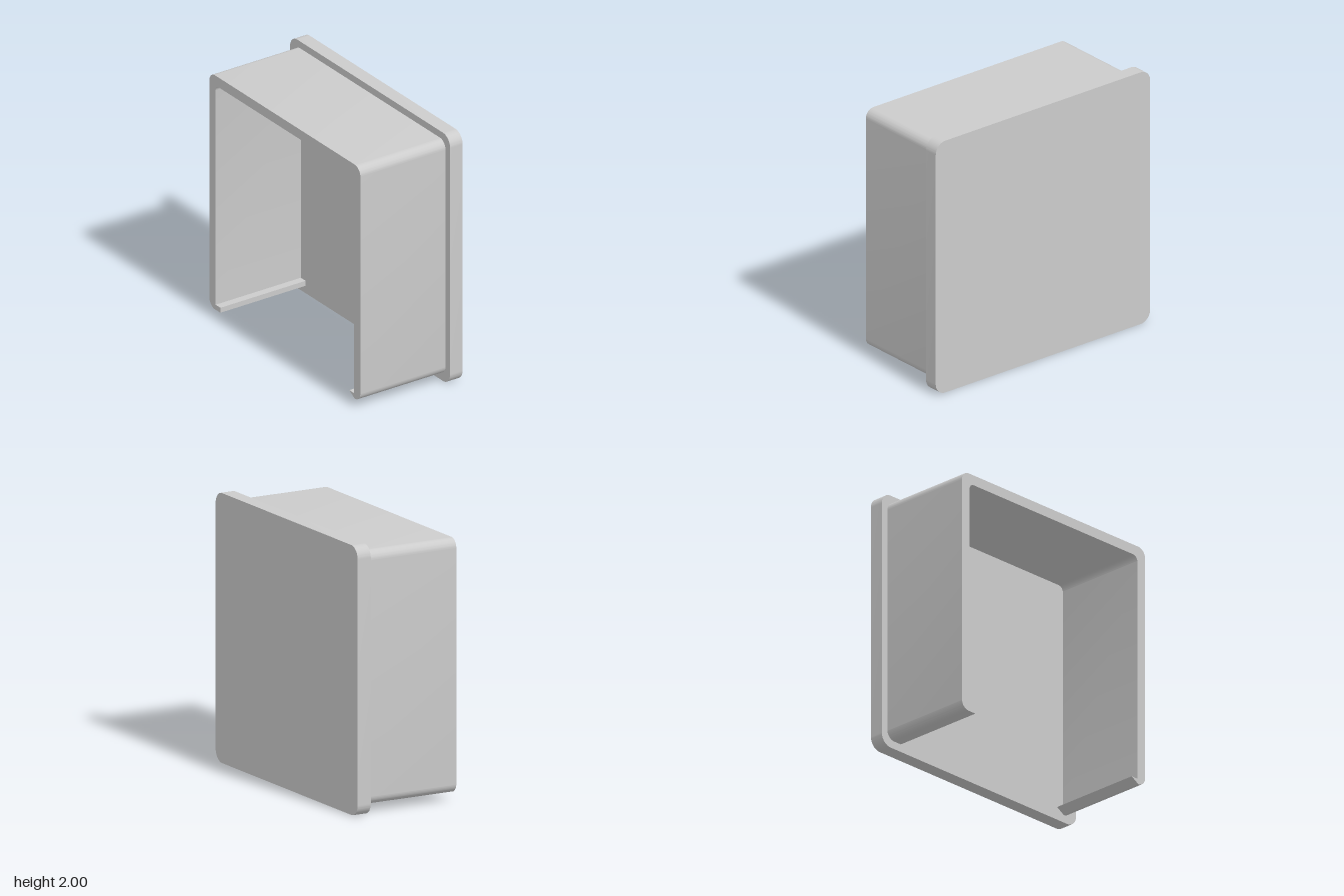
import * as THREE from 'three';
import { toCreasedNormals } from 'three/addons/utils/BufferGeometryUtils.js';

const material = new THREE.MeshStandardMaterial({ color: 0xcccccc });
const BACK = -0.43, SEAT = -0.32, FRONT = 0.43;

// Extrude a shape between two depths, smooth around the rounded corners only
function extrude(name, shape, z0, z1) {
  const geometry = new THREE.ExtrudeGeometry(shape, { depth: z1 - z0, bevelEnabled: false, curveSegments: 10 });
  geometry.translate(0, 0, z0);
  const mesh = new THREE.Mesh(toCreasedNormals(geometry, Math.PI / 6), material);
  mesh.name = name;
  return mesh;
}

// Square plate with rounded corners
function plateShape(half, bottom, top, r) {
  const s = new THREE.Shape();
  s.absarc(half - r, bottom + r, r, -Math.PI / 2, 0);
  s.absarc(half - r, top - r, r, 0, Math.PI / 2);
  s.absarc(-half + r, top - r, r, Math.PI / 2, Math.PI);
  s.absarc(-half + r, bottom + r, r, Math.PI, Math.PI * 1.5);
  s.closePath();
  return s;
}

// Wall open at the bottom, ending in two short inward lips
function wallShape() {
  const out = 0.943, inn = 0.865, lip = 0.805;
  const bottom = 0.06, lipTop = 0.1, top = 1.945, innerTop = 1.867;
  const R = 0.07, r = 0.045;
  const s = new THREE.Shape();
  s.moveTo(lip, bottom);
  s.absarc(out - R, bottom + R, R, -Math.PI / 2, 0);
  s.absarc(out - R, top - R, R, 0, Math.PI / 2);
  s.absarc(-out + R, top - R, R, Math.PI / 2, Math.PI);
  s.absarc(-out + R, bottom + R, R, Math.PI, Math.PI * 1.5);
  s.lineTo(-lip, bottom);
  s.lineTo(-lip, lipTop);
  s.lineTo(-inn, lipTop);
  s.absarc(-inn + r, innerTop - r, r, Math.PI, Math.PI / 2, true);
  s.absarc(inn - r, innerTop - r, r, Math.PI / 2, 0, true);
  s.lineTo(inn, lipTop);
  s.lineTo(lip, lipTop);
  s.closePath();
  return s;
}

export function createModel() {
  const model = new THREE.Group();
  model.name = 'openBottomCover';
  model.add(extrude('backPlate', plateShape(1, 0, 2, 0.09), BACK, SEAT));
  model.add(extrude('surroundWall', wallShape(), SEAT, FRONT));
  return model;
}
